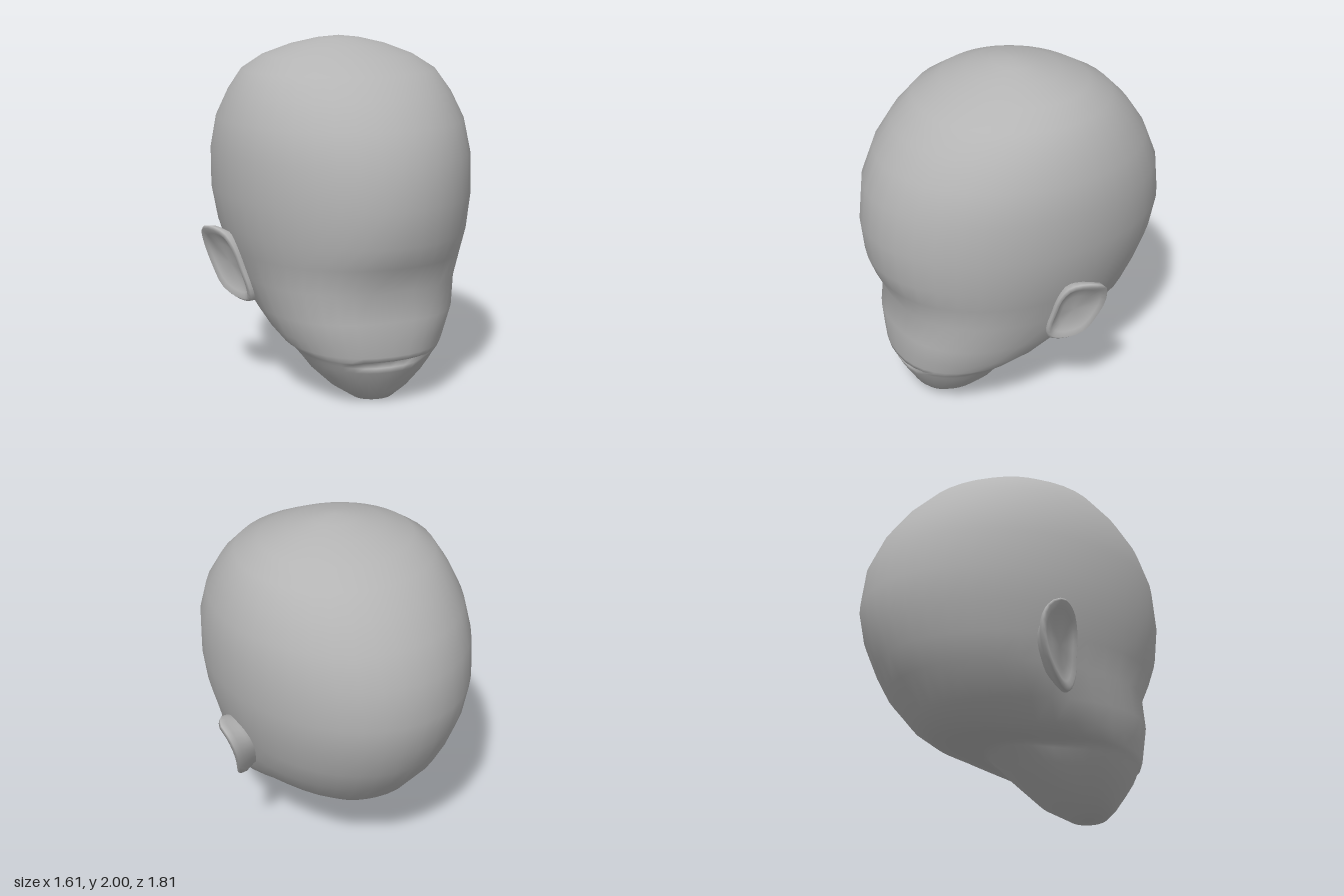
import * as THREE from 'three';

const SEGMENTS = 40;

// Closed skin over rings of points, with a pole at each end.
function loft(rings, first, last) {
  const n = rings[0].length;
  const points = [...rings.flat(), first, last];
  const index = [];
  const p0 = points.length - 2, p1 = points.length - 1;
  for (let j = 0; j < n; j++) {
    const k = (j + 1) % n;
    index.push(p0, j, k);
    for (let i = 0; i < rings.length - 1; i++) {
      const a = i * n + j, b = i * n + k;
      index.push(a, a + n, b, b, a + n, b + n);
    }
    const base = (rings.length - 1) * n;
    index.push(base + j, p1, base + k);
  }
  const geometry = new THREE.BufferGeometry().setFromPoints(points);
  geometry.setIndex(index);
  geometry.computeVertexNormals();
  return geometry;
}

// Level cranium rings: y, front z, back z, half width
const cranium = [
  [1.985, 0.1, -0.12, 0.13],
  [1.95, 0.24, -0.27, 0.28],
  [1.89, 0.39, -0.43, 0.44],
  [1.81, 0.555, -0.57, 0.56],
  [1.69, 0.69, -0.69, 0.635],
  [1.54, 0.8, -0.795, 0.7],
  [1.36, 0.88, -0.875, 0.728],
  [1.13, 0.907, -0.905, 0.724],
];

// Tilted lower rings: front y, z; back y, z; half width; squareness; pinch at the nape
const face = [
  [0.93, 0.885, 0.94, -0.87, 0.69, 2.05, 0],
  [0.81, 0.84, 0.77, -0.8, 0.645, 2.15, 0],
  [0.66, 0.765, 0.63, -0.72, 0.598, 2.4, 0],
  [0.5, 0.785, 0.46, -0.58, 0.55, 2.5, 0.1],
  [0.38, 0.782, 0.365, -0.46, 0.5, 2.4, 0.25],
  [0.305, 0.777, 0.36, -0.33, 0.465, 2.35, 0.32],
  [0.278, 0.772, 0.355, -0.25, 0.445, 2.3, 0.32],
  [0.264, 0.764, 0.35, -0.2, 0.43, 2.3, 0.3],
  [0.238, 0.75, 0.345, -0.15, 0.415, 2.25, 0.3],
  [0.205, 0.738, 0.33, -0.1, 0.395, 2.2, 0.25],
  [0.14, 0.7, 0.25, 0.02, 0.345, 2.1, 0.15],
  [0.06, 0.65, 0.12, 0.2, 0.24, 2, 0],
  [0.008, 0.6, 0.012, 0.39, 0.12, 2, 0],
];
const MOUTH_ROW = 7;

function headRing([yf, zf, yb, zb, w, n, pinch], mouth) {
  return Array.from({ length: SEGMENTS }, (_, j) => {
    const t = (j / SEGMENTS) * Math.PI * 2;
    const s = Math.sin(t), c = Math.cos(t);
    const power = c > 0 ? 2 / n : 1;
    const sx = Math.sign(s) * Math.abs(s) ** power;
    const sz = Math.sign(c) * Math.abs(c) ** power;
    const f = (1 + sz) / 2;
    const x = w * sx * (1 - pinch * THREE.MathUtils.smoothstep(-sz, -0.2, 0.6));
    let z = zb + (zf - zb) * f;
    // Groove between the lips
    if (mouth && c > 0) z -= 0.05 * Math.sqrt(Math.max(0, 1 - (x / 0.2) ** 2));
    return new THREE.Vector3(x, yb + (yf - yb) * f, z);
  });
}

function headGeometry() {
  const rows = [...cranium.map(([y, zf, zb, w]) => [y, zf, y, zb, w, 2, 0]), ...face];
  const rings = rows.map((row, i) => headRing(row, i === cranium.length + MOUTH_ROW));
  return loft(rings, new THREE.Vector3(0, 2, 0), new THREE.Vector3(0, 0, 0.5));
}

// Ear outline (z, y), from the top forward, down and back
const earOutline = [
  [-0.04, 0.94], [0.04, 0.91], [0.085, 0.82], [0.1, 0.7], [0.11, 0.58],
  [0.085, 0.51], [0.03, 0.5], [-0.06, 0.55], [-0.13, 0.66], [-0.17, 0.8], [-0.14, 0.9],
];

// Ear layers from the hollow out over the rim to the root: scale, outward offset
const earLayers = [[0.5, -0.035], [0.78, -0.015], [0.93, 0.008], [1, -0.005], [0.99, -0.04], [0.8, -0.1], [0.7, -0.22]];

function earGeometry(side) {
  const curve = new THREE.CatmullRomCurve3(earOutline.map(([z, y]) => new THREE.Vector3(0, y, z)), true);
  const outline = curve.getPoints(28).slice(0, -1);
  const place = (y, z, offset) => {
    const flare = 0.1 * THREE.MathUtils.smoothstep(0.12 - z, 0, 0.22);
    return new THREE.Vector3(side * (0.575 + 0.3 * (y - 0.5) + flare + offset), y, z);
  };
  const rings = earLayers.map(([scale, offset]) => {
    const ring = outline.map((p) => place(0.72 + (p.y - 0.72) * scale, -0.02 + (p.z + 0.02) * scale, offset));
    return side > 0 ? ring : ring.reverse();
  });
  return loft(rings, place(0.72, -0.02, -0.045), place(0.72, -0.02, -0.22));
}

export function createModel() {
  const group = new THREE.Group();
  const grey = new THREE.MeshStandardMaterial({ color: 0xb4b4b4 });
  grey.name = 'matte grey';

  const add = (name, geometry) => {
    const mesh = new THREE.Mesh(geometry, grey);
    mesh.name = name;
    group.add(mesh);
  };

  add('head', headGeometry());
  add('leftEar', earGeometry(1));
  add('rightEar', earGeometry(-1));
  return group;
}
